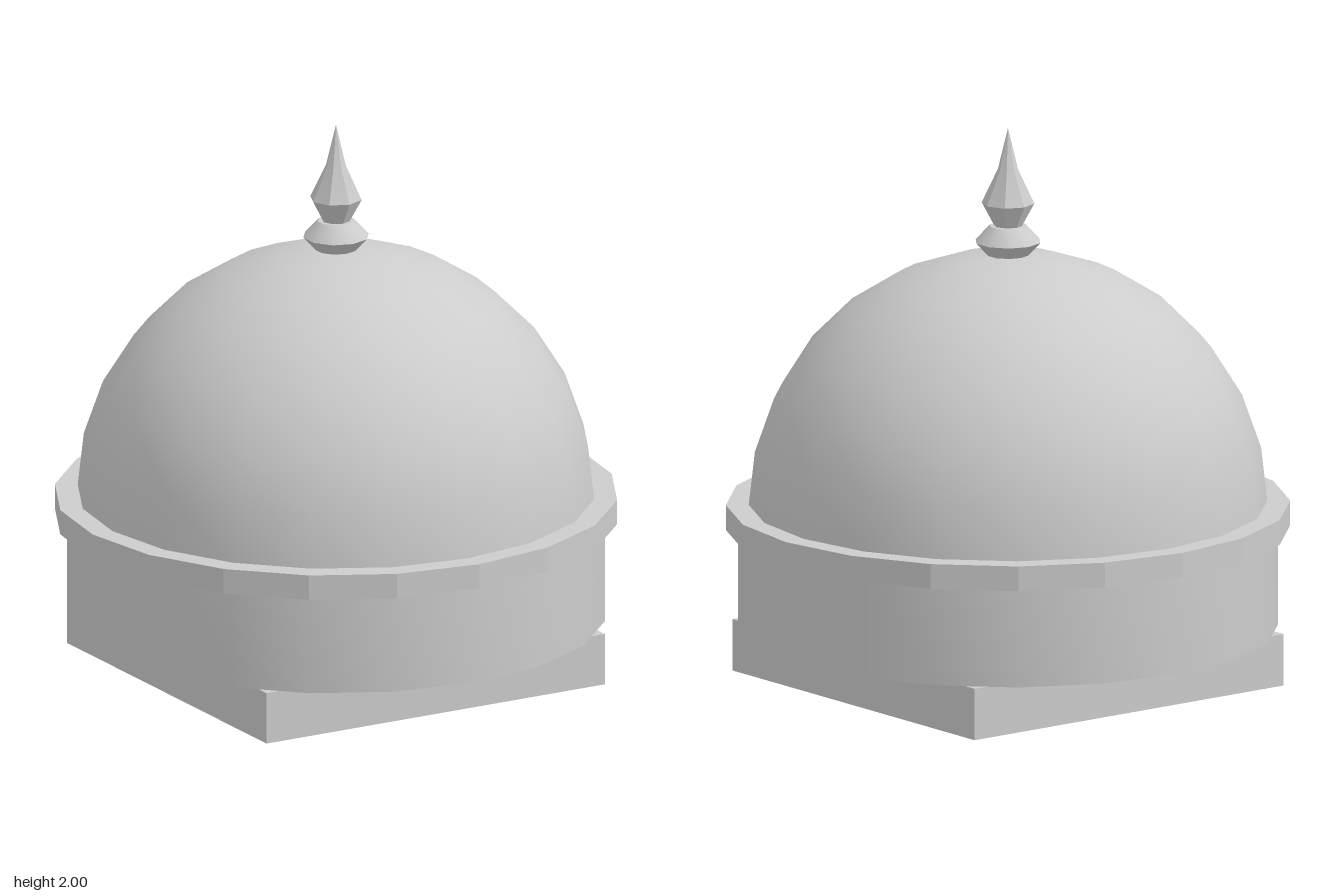
import * as THREE from 'three';
import { toCreasedNormals } from 'three/addons/utils/BufferGeometryUtils.js';

const SIDES = 20;

export function createModel() {
  const group = new THREE.Group();
  const stone = new THREE.MeshStandardMaterial({ color: 0xcccccc, side: THREE.DoubleSide });
  stone.name = 'paleStone';

  const add = (name, geometry) => {
    const mesh = new THREE.Mesh(geometry, stone);
    mesh.name = name;
    group.add(mesh);
  };
  // Turned part from [radius, height] pairs; crease is the smoothing limit in radians
  const turned = (profile, sides, crease) => toCreasedNormals(
    new THREE.LatheGeometry(profile.map(([r, y]) => new THREE.Vector2(r, y)), sides), crease);

  // Square plinth with a round opening
  const half = 0.695;
  const square = new THREE.Shape([[-1, -1], [1, -1], [1, 1], [-1, 1]]
    .map(([x, y]) => new THREE.Vector2(x * half, y * half)));
  const opening = [];
  for (let i = 0; i < SIDES; i++) {
    const a = (i / SIDES) * Math.PI * 2;
    opening.push(new THREE.Vector2(Math.cos(a) * 0.55, Math.sin(a) * 0.55));
  }
  square.holes.push(new THREE.Path(opening));
  const plinth = new THREE.ExtrudeGeometry(square, { depth: 0.187, bevelEnabled: false });
  plinth.rotateX(-Math.PI / 2);
  add('plinth', plinth);

  // Hollow drum
  add('drum', turned([[0.545, 0.187], [0.957, 0.187], [0.957, 0.6], [0.545, 0.6], [0.545, 0.187]], SIDES, 0.6));

  // Faceted cornice ring
  add('cornice', turned([[0.85, 0.547], [1, 0.547], [1, 0.637], [0.85, 0.637], [0.85, 0.547]], SIDES, 0.1));

  // Hemispherical dome
  const dome = [];
  for (let i = 0; i <= 7; i++) {
    const a = (i / 7) * Math.PI / 2;
    dome.push([0.92 * Math.cos(a), 0.625 + 0.92 * Math.sin(a)]);
  }
  dome[7][0] = 0;
  add('dome', turned(dome, SIDES, 0.6));

  // Finial: collar and pointed bud
  add('finialCollar', turned([[0, 1.53], [0.075, 1.54], [0.119, 1.588], [0.066, 1.645], [0, 1.645]], 10, 0.7));
  add('finialBud', turned([[0, 1.64], [0.05, 1.645], [0.094, 1.727], [0.036, 1.85], [0, 2]], 8, 0.6));

  return group;
}
